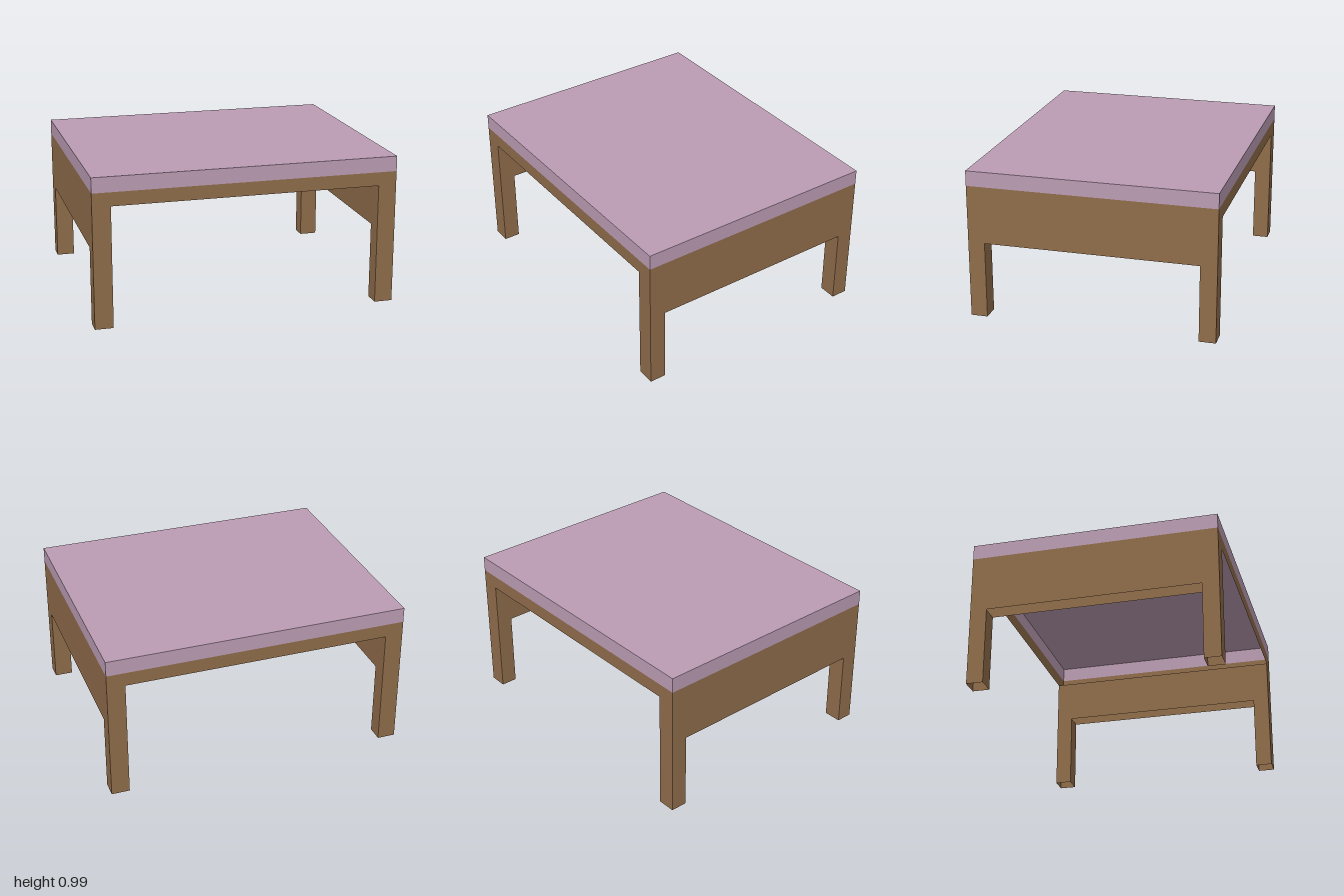
import * as THREE from 'three';

const W = 1, D = 0.813;              // half width (x) and half depth (z)
const TOP = 0.99, FRAME = 0.89;      // top of the cushion, top of the frame
const FRONT_RAIL = 0.8, SIDE_RAIL = 0.51; // undersides of the rails
const LEG_X = 0.12, LEG_Z = 0.11;    // leg thickness

// Upright board with two legs and an open middle
function portal(half, height, leg, rail) {
  const i = half - leg;
  const points = [[-half, 0], [-i, 0], [-i, rail], [i, rail], [i, 0], [half, 0], [half, height], [-half, height]];
  return new THREE.ShapeGeometry(new THREE.Shape(points.map(([x, y]) => new THREE.Vector2(x, y))));
}

export function createModel() {
  const wood = new THREE.MeshStandardMaterial({ color: 0x8f6c4a, side: THREE.DoubleSide });
  wood.name = 'brownWood';
  const fabric = new THREE.MeshStandardMaterial({ color: 0xbb9cb3, side: THREE.DoubleSide });
  fabric.name = 'mauveFabric';

  const table = new THREE.Group();
  table.name = 'lowTable';
  const frame = new THREE.Group();
  frame.name = 'frame';
  const cushion = new THREE.Group();
  cushion.name = 'cushion';
  table.add(frame, cushion);

  function add(group, name, geometry, material, x, y, z, turn = 0) {
    const mesh = new THREE.Mesh(geometry, material);
    mesh.name = name;
    mesh.position.set(x, y, z);
    mesh.rotation.y = turn;
    group.add(mesh);
    return mesh;
  }

  const edge = TOP - FRAME, mid = (TOP + FRAME) / 2;

  for (const s of [1, -1]) {
    const end = s > 0 ? 'front' : 'back';
    const side = s > 0 ? 'left' : 'right';
    const endTurn = s > 0 ? 0 : Math.PI;
    const sideTurn = s * Math.PI / 2;

    // Outer boards, each with its leg faces
    add(frame, end + 'Board', portal(W, FRAME, LEG_X, FRONT_RAIL), wood, 0, 0, s * D, endTurn);
    add(frame, side + 'OuterBoard', portal(D, FRAME, LEG_Z, SIDE_RAIL), wood, s * W, 0, 0, sideTurn);

    // Inner boards, facing the middle; hollow and open below
    add(frame, side + 'InnerBoard', portal(D, FRONT_RAIL, LEG_Z, SIDE_RAIL), wood, s * (W - LEG_X), 0, 0, -sideTurn);

    // Inner leg faces under the side rails
    for (const t of [1, -1]) {
      add(frame, side + (t > 0 ? 'Front' : 'Back') + 'LegFace', new THREE.PlaneGeometry(LEG_X, SIDE_RAIL), wood,
        s * (W - LEG_X / 2), SIDE_RAIL / 2, t * (D - LEG_Z), t > 0 ? Math.PI : 0);
    }

    // Cushion edges
    add(cushion, end + 'CushionEdge', new THREE.PlaneGeometry(2 * W, edge), fabric, 0, mid, s * D, endTurn);
    add(cushion, side + 'CushionEdge', new THREE.PlaneGeometry(2 * D, edge), fabric, s * W, mid, 0, sideTurn);
  }

  // Cushion top, open underneath
  add(cushion, 'cushionTop', new THREE.PlaneGeometry(2 * W, 2 * D).rotateX(-Math.PI / 2), fabric, 0, TOP, 0);

  return table;
}
